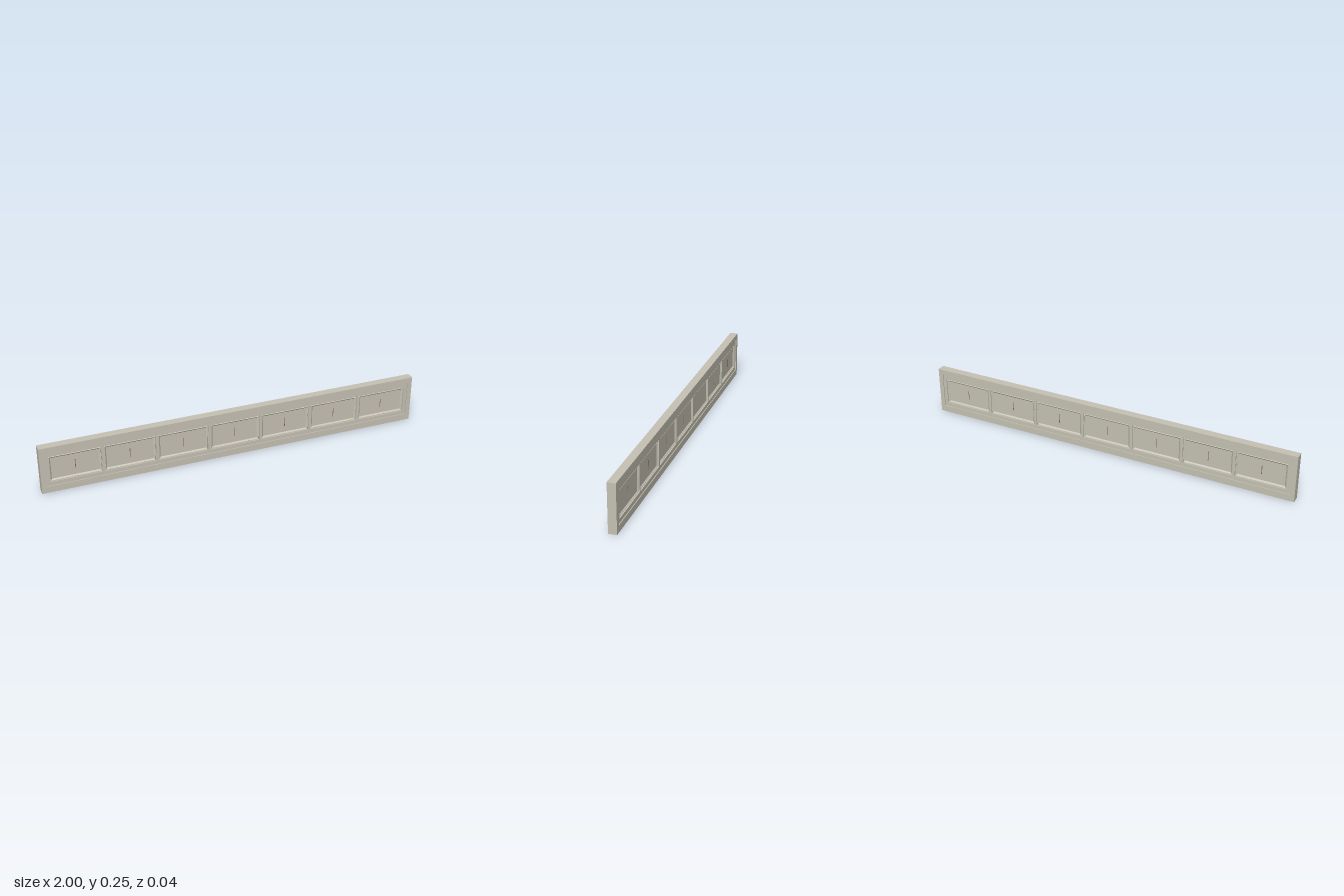
import * as THREE from 'three';

const stone = new THREE.MeshStandardMaterial({ color: 0xc6c2b4, flatShading: true });
const brown = new THREE.MeshStandardMaterial({ color: 0x8a6a40 });

const HALF_DEPTH = 0.021;
const OPEN = { x: 0.976, y0: 0.035, y1: 0.222 };   // opening inside the outer frame
const PANEL = { w: 0.264, h: 0.14, y: 0.126, pitch: 0.275, count: 7 };

function box(name, w, h, d, x, y, z, material = stone) {
  const mesh = new THREE.Mesh(new THREE.BoxGeometry(w, h, d), material);
  mesh.name = name;
  mesh.position.set(x, y, z);
  return mesh;
}

function rect(target, x0, y0, x1, y1) {
  target.moveTo(x0, y0);
  target.lineTo(x1, y0);
  target.lineTo(x1, y1);
  target.lineTo(x0, y1);
  target.closePath();
  return target;
}

// Nested rectangles, each [inset, z], joined into a moulded face and capped
function mouldedFace(w, h, profile) {
  const pos = [], index = [];
  for (const [inset, z] of profile) {
    const x = w / 2 - inset, y = h / 2 - inset;
    pos.push(-x, -y, z, x, -y, z, x, y, z, -x, y, z);
  }
  for (let r = 0; r < profile.length - 1; r++) {
    for (let i = 0; i < 4; i++) {
      const a = r * 4 + i, b = r * 4 + (i + 1) % 4;
      index.push(a, b, b + 4, a, b + 4, a + 4);
    }
  }
  const c = (profile.length - 1) * 4;
  index.push(c, c + 1, c + 2, c, c + 2, c + 3);
  const g = new THREE.BufferGeometry();
  g.setAttribute('position', new THREE.Float32BufferAttribute(pos, 3));
  g.setIndex(index);
  const flat = g.toNonIndexed();
  flat.computeVertexNormals();
  return flat;
}

export function createModel() {
  const group = new THREE.Group();
  group.name = 'panelledFrieze';

  // Outer frame: full-length rails with stiles between them
  const d = HALF_DEPTH * 2;
  const openH = OPEN.y1 - OPEN.y0, openY = (OPEN.y0 + OPEN.y1) / 2;
  group.add(box('bottomRail', 2, OPEN.y0, d, 0, OPEN.y0 / 2, 0));
  group.add(box('topRail', 2, 0.25 - OPEN.y1, d, 0, (0.25 + OPEN.y1) / 2, 0));
  for (const s of [-1, 1]) {
    group.add(box(s > 0 ? 'leftStile' : 'rightStile',
      1 - OPEN.x, openH, d, s * (1 + OPEN.x) / 2, openY, 0));
  }

  // Slightly recessed inner frame with one hole per panel
  const shape = rect(new THREE.Shape(), -OPEN.x, OPEN.y0, OPEN.x, OPEN.y1);
  const centres = [];
  for (let i = 0; i < PANEL.count; i++) {
    const x = (i - (PANEL.count - 1) / 2) * PANEL.pitch;
    centres.push(x);
    shape.holes.push(rect(new THREE.Path(),
      x - PANEL.w / 2, PANEL.y - PANEL.h / 2, x + PANEL.w / 2, PANEL.y + PANEL.h / 2));
  }
  const innerDepth = 0.034;
  const inner = new THREE.Mesh(
    new THREE.ExtrudeGeometry(shape, { depth: innerDepth, bevelEnabled: false }), stone);
  inner.name = 'innerFrame';
  inner.position.z = -innerDepth / 2;
  group.add(inner);

  // Moulded panels, the same on both faces, each with a slim centre pin
  const face = mouldedFace(PANEL.w, PANEL.h,
    [[0, 0.012], [0.003, 0.012], [0.005, 0.015], [0.008, 0.013], [0.012, 0.009]]);
  centres.forEach((x, i) => {
    const panel = new THREE.Group();
    panel.name = 'panel' + (i + 1);
    panel.position.set(x, PANEL.y, 0);
    for (const turn of [0, Math.PI]) {
      const side = new THREE.Mesh(face, stone);
      side.name = turn ? 'backFace' : 'frontFace';
      side.rotation.y = turn;
      panel.add(side);
    }
    panel.add(box('centrePin', 0.003, 0.05, 0.019, 0, 0, 0, brown));
    group.add(panel);
  });

  return group;
}
